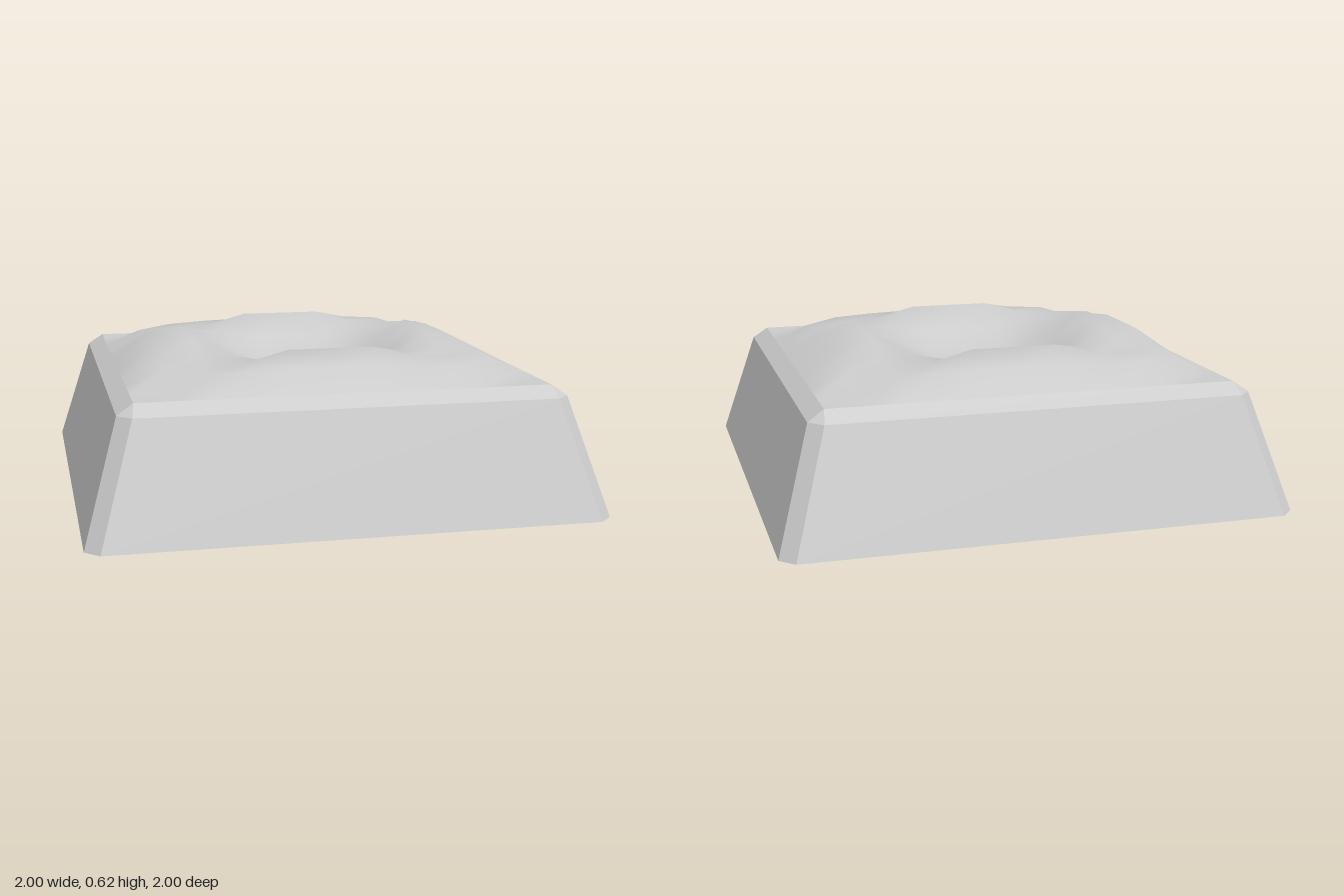
import * as THREE from 'three';

const grey = (flatShading) => new THREE.MeshStandardMaterial({ color: 0xcccccc, flatShading, side: THREE.DoubleSide });

// Square outline with cut corners, as [x, z] points
function outline(half, flat) {
  return [[half, flat], [flat, half], [-flat, half], [-half, flat],
    [-half, -flat], [-flat, -half], [flat, -half], [half, -flat]];
}

// Hollow tapered base: sloped walls, then a bevel up to the top square
function createBase() {
  const rings = [[0, 1, 0.945], [0.457, 0.863, 0.81], [0.5, 0.8, 0.8]];
  const positions = [];
  const index = [];
  for (const [y, half, flat] of rings) {
    for (const [x, z] of outline(half, flat)) positions.push(x, y, z);
  }
  for (let r = 0; r < rings.length - 1; r++) {
    for (let i = 0; i < 8; i++) {
      const a = r * 8 + i;
      const b = r * 8 + (i + 1) % 8;
      index.push(a, a + 8, b, b, a + 8, b + 8);
    }
  }
  const geometry = new THREE.BufferGeometry();
  geometry.setAttribute('position', new THREE.Float32BufferAttribute(positions, 3));
  geometry.setIndex(index);
  const flat = geometry.toNonIndexed();
  flat.computeVertexNormals();
  return new THREE.Mesh(flat, grey(true));
}

// Crater ground: heights of one quarter, mirrored over both axes
function createTerrain() {
  const steps = [0, 0.17, 0.335, 0.5, 0.655, 0.8];
  const heights = [
    [0.45, 0.46, 0.53, 0.62, 0.575, 0.5],
    [0.46, 0.47, 0.54, 0.62, 0.575, 0.5],
    [0.53, 0.54, 0.57, 0.575, 0.57, 0.5],
    [0.62, 0.62, 0.575, 0.565, 0.56, 0.5],
    [0.575, 0.575, 0.57, 0.56, 0.5, 0.5],
    [0.5, 0.5, 0.5, 0.5, 0.5, 0.5],
  ];
  const geometry = new THREE.PlaneGeometry(2, 2, 10, 10).rotateX(-Math.PI / 2);
  const p = geometry.attributes.position;
  for (let k = 0; k < p.count; k++) {
    const i = (k % 11) - 5;
    const j = Math.floor(k / 11) - 5;
    // Small knoll outside the right rim
    const knoll = i === -4 && Math.abs(j) <= 1 ? 0.025 : 0;
    p.setXYZ(k, Math.sign(i) * steps[Math.abs(i)],
      heights[Math.abs(i)][Math.abs(j)] + knoll,
      Math.sign(j) * steps[Math.abs(j)]);
  }
  geometry.computeVertexNormals();
  return new THREE.Mesh(geometry, grey(false));
}

export function createModel() {
  const group = new THREE.Group();
  group.name = 'craterTile';
  const base = createBase();
  base.name = 'base';
  const terrain = createTerrain();
  terrain.name = 'craterTerrain';
  group.add(base, terrain);
  return group;
}
